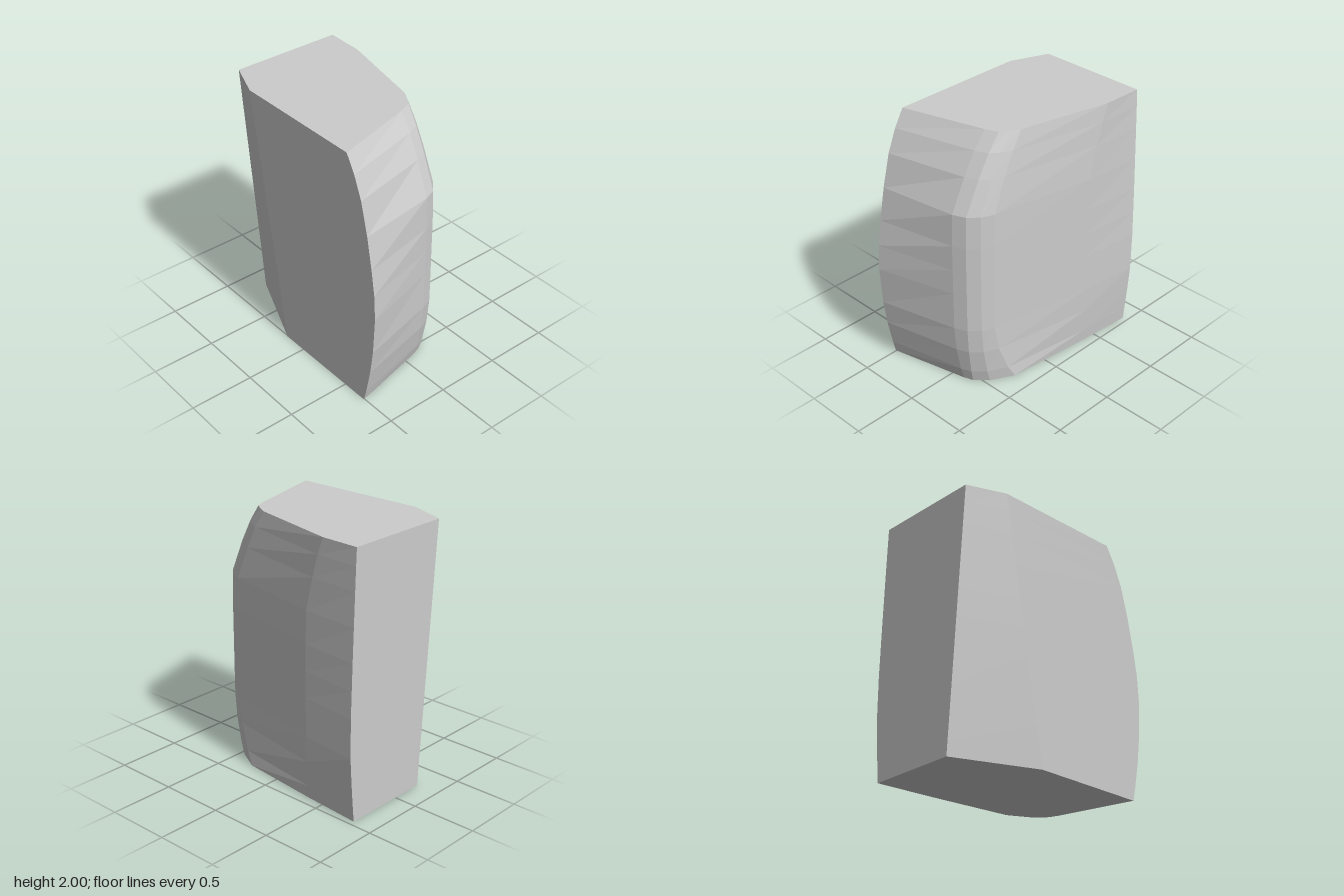
import * as THREE from 'three';

// Outline of the bulging back and rounded corner as [x, z], from the right edge round to the side
const BOTTOM = [[-0.82, -0.46], [-0.36, -0.42], [0.287, -0.35], [0.46, -0.26], [0.545, -0.17], [0.57, -0.1]];
const MIDDLE = [[-0.82, -0.505], [-0.36, -0.45], [0.45, -0.305], [0.54, -0.265], [0.615, -0.195], [0.655, -0.1]];
const TOP = [[-0.82, -0.47], [-0.52, -0.455], [0.18, -0.295], [0.26, -0.25], [0.31, -0.215], [0.35, -0.12]];

// [height, bulge from end outline to middle outline, x of front side edge, z of back edge]
const LEVELS = [
  [0, 0, 0.71, -0.458], [0.1, 0.35, 0.735, -0.468], [0.3, 0.8, 0.775, -0.486],
  [0.5, 1, 0.802, -0.5], [0.8, 1, 0.82, -0.502], [1, 1, 0.81, -0.497],
  [1.2, 1, 0.78, -0.492], [1.45, 0.97, 0.733, -0.484], [1.7, 0.6, 0.67, -0.476],
  [1.87, 0.3, 0.6, -0.47], [2, 0, 0.525, -0.465],
];

const lerp = THREE.MathUtils.lerp;

// One closed horizontal section
function section([y, bulge, edgeX, backZ]) {
  const end = y < 0.7 ? BOTTOM : TOP;
  const ring = end.map(([x, z], i) => [lerp(x, MIDDLE[i][0], bulge), y, lerp(z, MIDDLE[i][1], bulge)]);
  ring[0][2] = backZ;
  const t = y / 2;
  ring.push([edgeX, y, 0.505]); // front side edge
  ring.push([lerp(-0.2, -0.53, t), y, 0.505]); // slanted front crease
  ring.push([-0.82, y, lerp(0.25, 0.39, t)]); // front bevel edge
  return ring;
}

export function createModel() {
  const rings = LEVELS.map(section);
  const n = rings[0].length;
  const positions = [];
  const tri = (a, b, c) => positions.push(...a, ...b, ...c);

  // Side walls
  for (let i = 0; i < rings.length - 1; i++) {
    const lo = rings[i], up = rings[i + 1];
    for (let j = 0; j < n; j++) {
      const k = (j + 1) % n;
      tri(lo[j], up[j], lo[k]);
      tri(up[j], up[k], lo[k]);
    }
  }

  // Flat bottom and top
  const bottom = rings[0], top = rings[rings.length - 1];
  for (let k = 1; k < n - 1; k++) {
    tri(bottom[0], bottom[k], bottom[k + 1]);
    tri(top[0], top[k + 1], top[k]);
  }

  const geometry = new THREE.BufferGeometry();
  geometry.setAttribute('position', new THREE.Float32BufferAttribute(positions, 3));
  geometry.computeVertexNormals();

  const material = new THREE.MeshStandardMaterial({ color: 0xcccccc });
  material.name = 'light grey';
  material.flatShading = true;

  const block = new THREE.Mesh(geometry, material);
  block.name = 'bulgedBlock';
  const group = new THREE.Group();
  group.name = 'model';
  group.add(block);
  return group;
}
